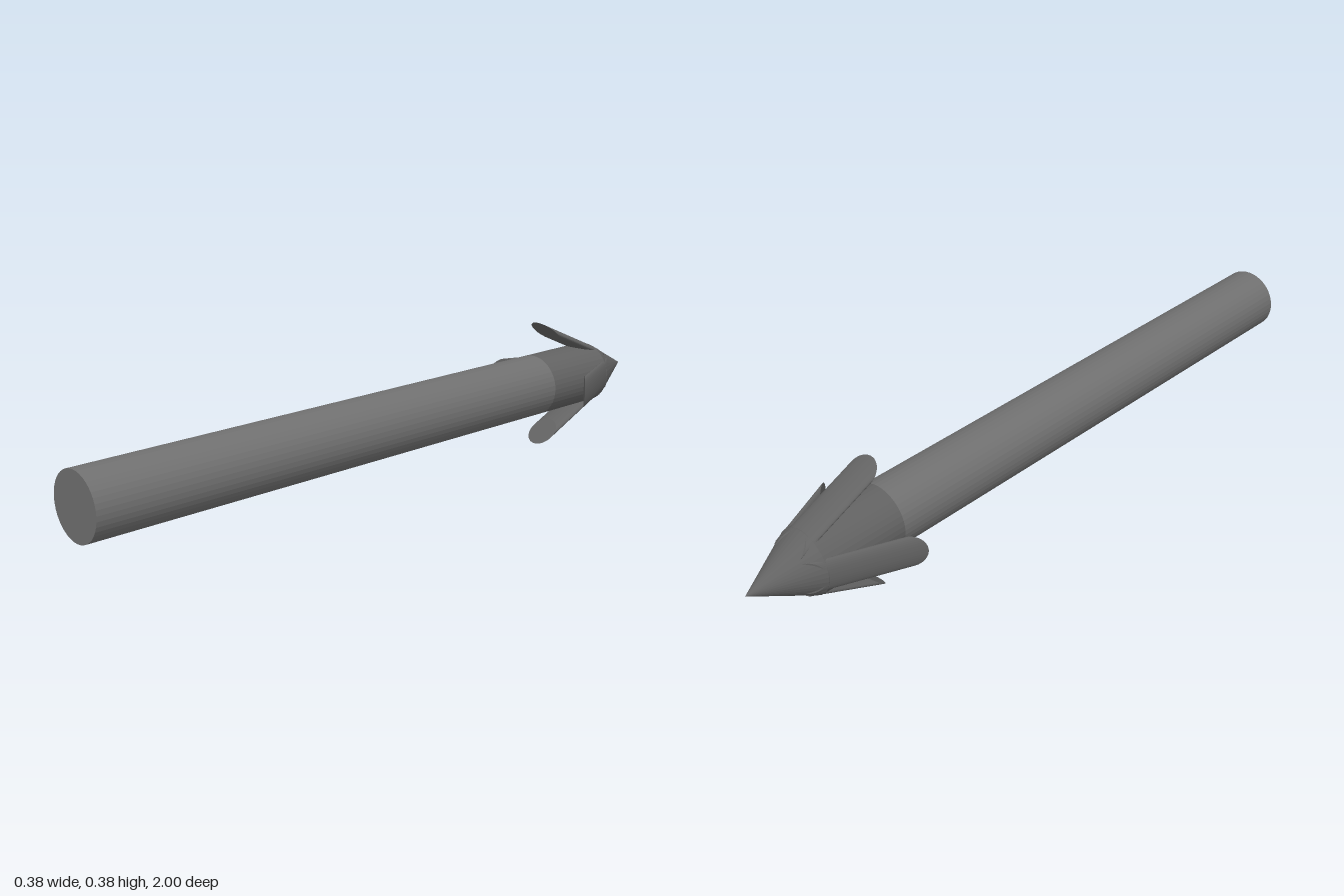
import * as THREE from 'three';

const SIDES = 40;
const AXIS_Y = 0.188;

export function createModel() {
  const group = new THREE.Group();
  const shaftMat = new THREE.MeshStandardMaterial({ color: 0x707070, flatShading: true });
  const headMat = new THREE.MeshStandardMaterial({ color: 0x626262, flatShading: true });

  const add = (name, geometry, material) => {
    const mesh = new THREE.Mesh(geometry, material);
    mesh.name = name;
    mesh.position.y = AXIS_Y;
    group.add(mesh);
    return mesh;
  };

  // Round bar along z; the radius r0 is at z0 and r1 at z1 (z1 < z0)
  const bar = (r0, r1, z0, z1, open) =>
    new THREE.CylinderGeometry(r1, r0, z0 - z1, SIDES, 1, open)
      .rotateX(-Math.PI / 2)
      .translate(0, 0, (z0 + z1) / 2);

  // Long shaft, head collar and pointed tip
  add('shaft', bar(0.09, 0.09, 1, -0.58, false), shaftMat);
  add('headCollar', bar(0.09, 0.09, -0.58, -0.825, true), headMat);
  add('tip', bar(0.09, 0, -0.825, -1, true), headMat);

  // Barb: a slanted rod with an oblique elliptical end, swept back from the tip
  const across = new THREE.Vector3(0, 0.045, 0);
  const sweep = new THREE.Vector3(0.1, 0, 0.23);
  const cap = new THREE.Vector3(0.031, 0, 0.036);
  const barbGeometry = new THREE.CylinderGeometry(1, 1, 1, SIDES)
    .applyMatrix4(new THREE.Matrix4().makeBasis(across, sweep, cap))
    .translate(0.157 - sweep.x / 2, 0, -0.632 - sweep.z / 2);

  // Four barbs around the head
  ['leftBarb', 'topBarb', 'rightBarb', 'bottomBarb'].forEach((name, i) => {
    add(name, barbGeometry, headMat).rotation.z = (i * Math.PI) / 2;
  });

  return group;
}
